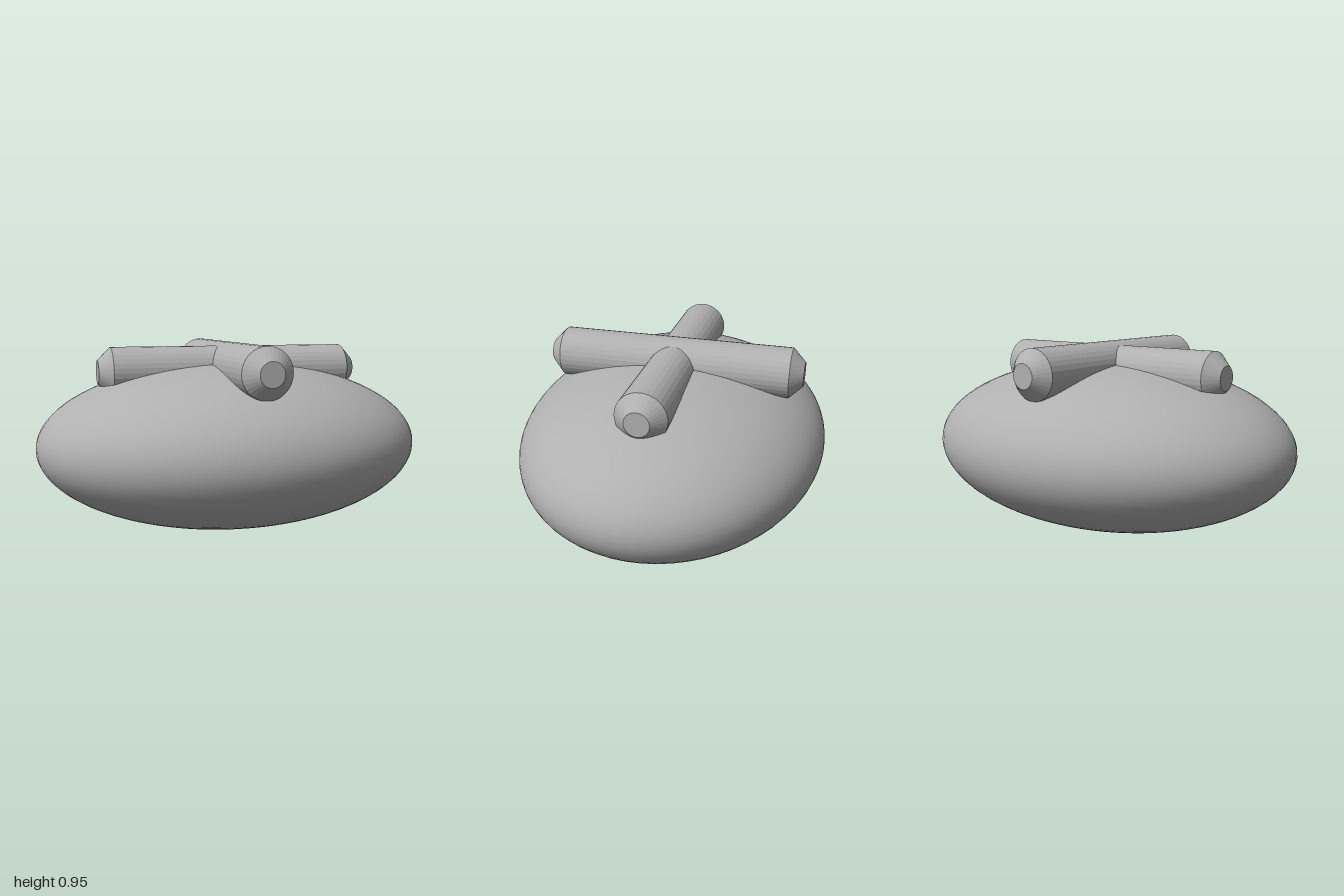
import * as THREE from 'three';

const gray = new THREE.MeshStandardMaterial({ color: 0xb0b0b0 });
gray.name = 'stone gray';

// Rod along y with chamfered ends and faceted sides
function rodGeometry(half, radius, endRadius, chamfer) {
  const profile = [
    [0, -half], [endRadius, -half], [radius, -half + chamfer],
    [radius, half - chamfer], [endRadius, half], [0, half],
  ].map(([r, y]) => new THREE.Vector2(r, y));
  const geometry = new THREE.LatheGeometry(profile, 32).toNonIndexed();
  geometry.computeVertexNormals();
  return geometry;
}

export function createModel() {
  const model = new THREE.Group();
  model.name = 'crossHandledPebble';

  const add = (name, geometry) => {
    const mesh = new THREE.Mesh(geometry, gray);
    mesh.name = name;
    model.add(mesh);
  };

  // Smooth flattened body
  add('body', new THREE.SphereGeometry(1, 64, 40).scale(1, 0.425, 0.78).translate(0, 0.428, 0));

  // Crossed rods half sunk into the top
  add('sideRod', rodGeometry(0.685, 0.125, 0.06, 0.065).rotateZ(Math.PI / 2).translate(-0.003, 0.81, 0));
  add('frontRod', rodGeometry(0.65, 0.125, 0.06, 0.065).rotateX(Math.PI / 2).translate(-0.003, 0.83, 0));

  return model;
}
